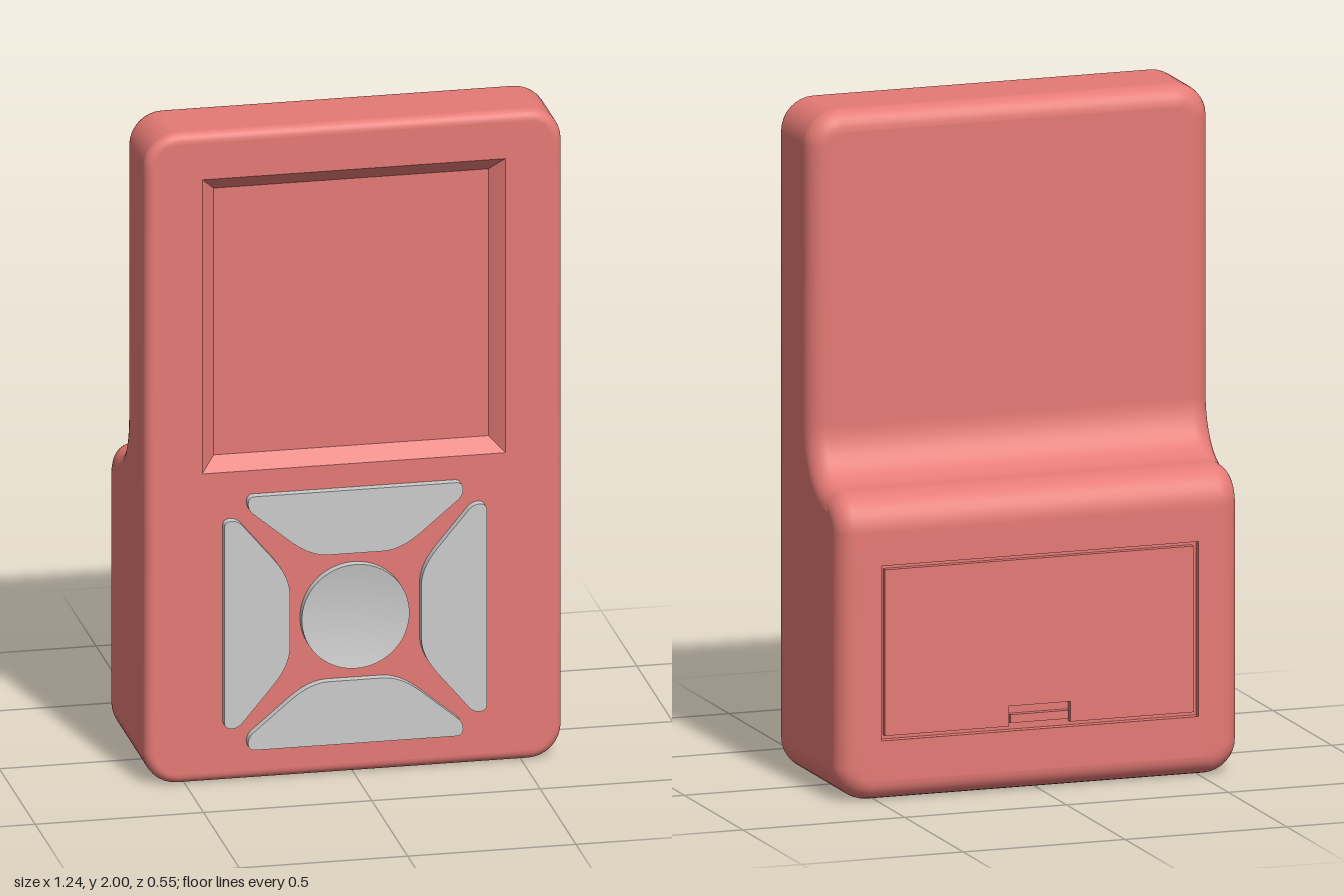
import * as THREE from 'three';

const red = new THREE.MeshStandardMaterial({ color: 0xe57a75 });
const grey = new THREE.MeshStandardMaterial({ color: 0xcccccc });

const W = 0.62, H = 2, CORNER = 0.1;              // body outline
const FRONT = 0.248, SLAB = -0.025, GRIP = -0.275; // depths of front, thin back, thick back
const screen = { x: 0.45, y0: 0.952, y1: 1.857 };
const door = { x: 0.49, y0: 0.18, y1: 0.7 };

function mesh(name, geometry, material = red) {
  const m = new THREE.Mesh(geometry, material);
  m.name = name;
  return m;
}

// Right-hand outline from bottom to top: point, outline normal, back depth, back normal
function bodyRows() {
  const rows = [];
  const add = (x, y, ox, oy, z, ny = 0, nz = -1) => rows.push({ x, y, ox, oy, z, ny, nz });
  const corner = (cy, from, z) => {
    for (let i = 0; i <= 8; i++) {
      const a = from + (i / 8) * Math.PI / 2, c = Math.cos(a), s = Math.sin(a);
      add(W - CORNER + CORNER * c, cy + CORNER * s, c, s, z);
    }
  };
  corner(CORNER, -Math.PI / 2, GRIP);
  add(W, door.y0, 1, 0, GRIP);
  add(W, door.y1, 1, 0, GRIP);
  // convex shoulder of the grip
  for (let i = 0; i < 10; i++) {
    const a = (i / 10) * Math.PI / 2, c = Math.cos(a), s = Math.sin(a);
    add(W, 0.8 + 0.11 * s, 1, 0, -0.165 - 0.11 * c, s, -c);
  }
  // concave sweep up to the slab, with one row exactly on the screen's lower edge
  const hit = Math.asin((1.07 - screen.y0) / 0.16);
  const sweep = [];
  for (let i = 0; i < 6; i++) sweep.push(Math.PI / 2 + (hit - Math.PI / 2) * i / 6);
  for (let i = 0; i <= 6; i++) sweep.push(hit * (1 - i / 6));
  for (const b of sweep) {
    const c = Math.cos(b), s = Math.sin(b);
    add(W, 1.07 - 0.16 * s, 1, 0, -0.165 + 0.14 * c, s, -c);
  }
  add(W, screen.y1, 1, 0, SLAB);
  corner(H - CORNER, 0, SLAB);
  return rows;
}

// Body shell: one closed cross-section per row, with openings for screen and door
function bodyGeometry() {
  const rows = bodyRows(), N = 7, RF = 0.03, RB = 0.06;
  const pos = [], index = [];
  let half = 0;
  for (const r of rows) {
    const pts = [];
    const front = (inset, drop, x) =>
      pts.push([x ?? r.x - r.ox * inset, r.y - r.oy * inset, FRONT - drop]);
    const back = (inset, drop, x) =>
      pts.push([x ?? r.x - r.ox * inset, r.y - r.oy * inset - r.ny * drop, r.z - r.nz * drop]);
    front(RF, 0, screen.x);
    for (let i = 0; i <= N; i++) {
      const a = (i / N) * Math.PI / 2;
      front(RF * (1 - Math.sin(a)), RF * (1 - Math.cos(a)));
    }
    for (let i = 0; i <= N; i++) {
      const a = (i / N) * Math.PI / 2;
      back(RB * (1 - Math.cos(a)), RB * (1 - Math.sin(a)));
    }
    back(RB, 0, door.x);
    half = pts.length;
    for (const p of pts) pos.push(...p);
    for (const [x, y, z] of pts.reverse()) pos.push(-x, y, z);
  }
  const L = half * 2, last = (rows.length - 1) * L;
  const within = (j, o) => rows[j].y > o.y0 - 1e-4 && rows[j + 1].y < o.y1 + 1e-4;
  for (let j = 0; j < rows.length - 1; j++) {
    for (let k = 0; k < L; k++) {
      if (k === L - 1 && within(j, screen)) continue;
      if (k === half - 1 && within(j, door)) continue;
      const k2 = (k + 1) % L, a = j * L + k, b = j * L + k2;
      index.push(a, b, b + L, a, b + L, a + L);
    }
  }
  // bottom and top faces
  for (let k = 1; k < half - 2; k++) {
    const l = L - 1 - k;
    index.push(k, l, l - 1, k, l - 1, k + 1);
    index.push(last + k, last + l - 1, last + l, last + k, last + k + 1, last + l - 1);
  }
  const g = new THREE.BufferGeometry();
  g.setAttribute('position', new THREE.Float32BufferAttribute(pos, 3));
  g.setIndex(index);
  g.computeVertexNormals();
  return g;
}

// Recess facing +z: four walls sloping in by "inset" down to a floor
function recessGeometry({ x, y0, y1 }, z, inset, depth) {
  const ring = (d, zz) => [[-x + d, y0 + d, zz], [x - d, y0 + d, zz], [x - d, y1 - d, zz], [-x + d, y1 - d, zz]];
  const o = ring(0, z), f = ring(inset, z - depth), pos = [];
  const quad = (a, b, c, d) => pos.push(...a, ...b, ...c, ...a, ...c, ...d);
  for (let i = 0; i < 4; i++) quad(o[i], o[(i + 1) % 4], f[(i + 1) % 4], f[i]);
  quad(...f);
  const g = new THREE.BufferGeometry();
  g.setAttribute('position', new THREE.Float32BufferAttribute(pos, 3));
  g.computeVertexNormals();
  return g;
}

// Battery door, built facing +z and turned to the back
function batteryDoor() {
  const group = new THREE.Group();
  group.name = 'batteryDoor';
  const z = -GRIP, gap = 0.013, n = 0.095, nh = 0.06;
  const x = door.x - gap, y0 = door.y0 + gap, y1 = door.y1 - gap;
  const shape = new THREE.Shape([
    [-x, y0], [-n, y0], [-n, y0 + nh], [n, y0 + nh], [n, y0], [x, y0], [x, y1], [-x, y1],
  ].map(p => new THREE.Vector2(...p)));
  const panel = new THREE.ExtrudeGeometry(shape, { depth: 0.02, bevelEnabled: false });
  panel.translate(0, 0, z - 0.025);
  const latch = mesh('doorLatch', new THREE.BoxGeometry(2 * n - 0.01, 0.025, 0.022));
  latch.position.set(0, y0 + 0.022, z - 0.016);
  group.add(mesh('doorRecess', recessGeometry(door, z, 0, 0.025)), mesh('doorPanel', panel), latch);
  group.rotation.y = Math.PI;
  return group;
}

// Four direction keys around a dished centre key
function keypad() {
  const pad = new THREE.Group();
  pad.name = 'keypad';
  pad.position.set(0, 0.49, FRONT);
  const s = new THREE.Shape();
  s.moveTo(-0.085, 0.195);
  s.lineTo(0.085, 0.195);
  s.bezierCurveTo(0.14, 0.198, 0.18, 0.232, 0.215, 0.262);
  s.lineTo(0.306, 0.338);
  s.bezierCurveTo(0.325, 0.355, 0.325, 0.39, 0.3, 0.39);
  s.lineTo(-0.3, 0.39);
  s.bezierCurveTo(-0.325, 0.39, -0.325, 0.355, -0.306, 0.338);
  s.lineTo(-0.215, 0.262);
  s.bezierCurveTo(-0.18, 0.232, -0.14, 0.198, -0.085, 0.195);
  const key = new THREE.ExtrudeGeometry(s, { depth: 0.037, bevelEnabled: false, curveSegments: 10 });
  key.translate(0, 0, -0.01);
  ['upKey', 'leftKey', 'downKey', 'rightKey'].forEach((name, i) => {
    const m = mesh(name, key, grey);
    m.rotation.z = -i * Math.PI / 2;
    pad.add(m);
  });
  const dish = [];
  for (let i = 0; i <= 8; i++) dish.push(new THREE.Vector2(0.16 * (1 - i / 8), 0.012 + 0.015 * (1 - i / 8) ** 2));
  const top = new THREE.LatheGeometry(dish, 48).rotateX(Math.PI / 2);
  const rim = new THREE.CylinderGeometry(0.16, 0.16, 0.037, 48, 1, true).rotateX(Math.PI / 2);
  rim.translate(0, 0, 0.0085);
  pad.add(mesh('centreKeyDish', top, grey), mesh('centreKeyRim', rim, grey));
  return pad;
}

export function createModel() {
  const model = new THREE.Group();
  model.name = 'handheldDevice';
  model.add(
    mesh('body', bodyGeometry()),
    mesh('screenRecess', recessGeometry(screen, FRONT, 0.042, 0.04)),
    batteryDoor(),
    keypad(),
  );
  return model;
}
